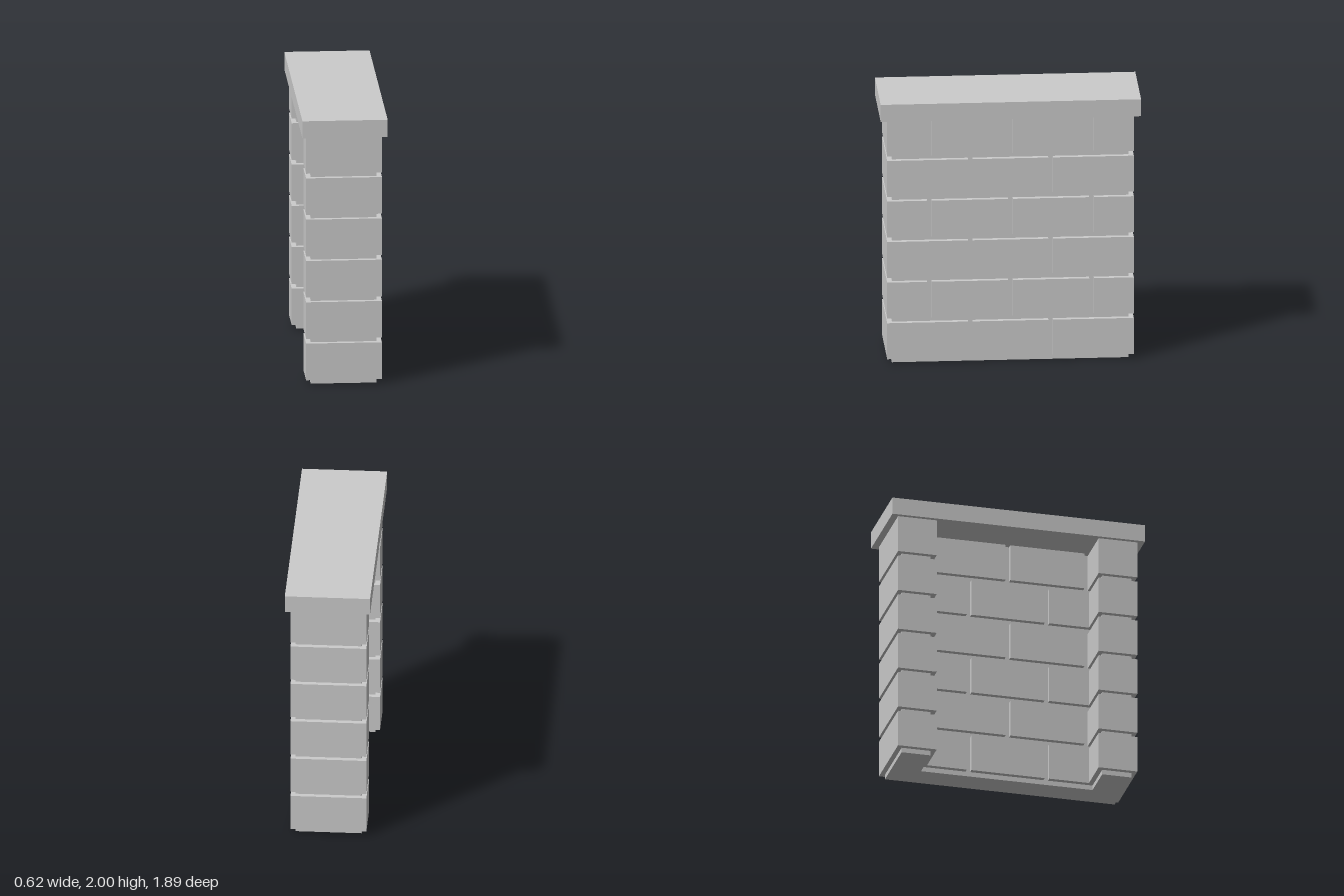
import * as THREE from 'three';

const material = new THREE.MeshStandardMaterial({ color: 0xcccccc, flatShading: true });

// Upright prism from a plan outline of [x, z] corners
function prism(name, plan, y0, y1) {
  const shape = new THREE.Shape(plan.map(([x, z]) => new THREE.Vector2(x, -z)));
  const geometry = new THREE.ExtrudeGeometry(shape, { depth: y1 - y0, bevelEnabled: false });
  geometry.rotateX(-Math.PI / 2);
  geometry.translate(0, y0, 0);
  const mesh = new THREE.Mesh(geometry, material);
  mesh.name = name;
  return mesh;
}

const rect = (x0, x1, z0, z1) => [[x0, z0], [x1, z0], [x1, z1], [x0, z1]];

export function createModel() {
  const model = new THREE.Group();
  model.name = 'brickWall';

  const back = 0.272, inner = 0, open = -0.28; // x of outer face, recess face, wing ends
  const end = 0.897, wing = 0.607;             // z of wing outer and inner faces
  const inset = 0.036, joint = 0.017;          // mortar depth, half joint width
  const rows = 6, pitch = 0.311, brickHeight = 0.276, capBottom = 1.87;

  // U-shaped mortar core, recessed behind the bricks
  const o = back - inset, i = inner + inset, f = open + inset;
  const e = end - inset, w = wing + inset;
  model.add(prism('mortarCore',
    [[o, -e], [o, e], [f, e], [f, w], [i, w], [i, -w], [f, -w], [f, -e]], 0, capBottom));

  // Brick courses in running bond
  for (let r = 0; r < rows; r++) {
    const course = new THREE.Group();
    course.name = `brickCourse${r + 1}`;
    const y0 = inset + r * pitch;
    const y1 = r === rows - 1 ? capBottom : y0 + brickHeight;
    const add = (name, plan) => course.add(prism(name, plan, y0, y1));

    if (r % 2 === 0) {
      // L-shaped corner bricks with one stretcher between them
      const s = 0.292 + joint;
      add('stretcherBrick', rect(inner, back, -s + 2 * joint, s - 2 * joint));
      for (const side of [-1, 1]) {
        add('cornerBrick', [[back, s], [back, end], [open, end], [open, wing], [inner, wing], [inner, s]]
          .map(([x, z]) => [x, side * z]));
      }
    } else {
      // Full-width end bricks with two stretchers between them
      for (const side of [-1, 1]) {
        add('endBrick', rect(open, back, side * wing, side * end));
        add('stretcherBrick', rect(inner, back, side * joint, side * (wing - 2 * joint)));
      }
    }
    model.add(course);
  }

  // Overhanging cap slab
  model.add(prism('capSlab', rect(-0.31, 0.31, -0.947, 0.947), capBottom, 2));
  return model;
}
